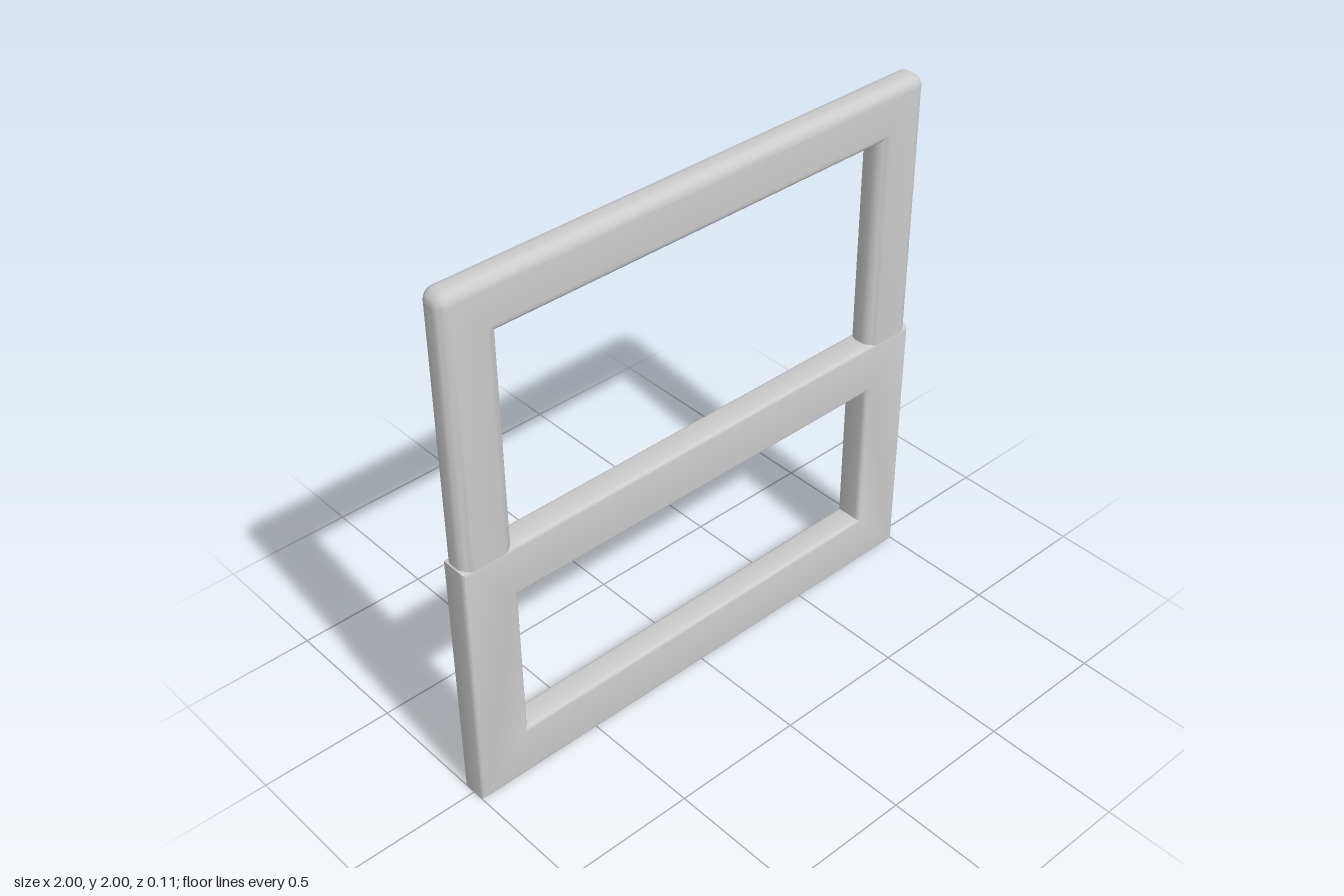
import * as THREE from 'three';
import { toCreasedNormals } from 'three/addons/utils/BufferGeometryUtils.js';

const material = new THREE.MeshStandardMaterial({ color: 0xcccccc });

// Extrudes an outline to the given total depth, rounding its edges inside the outline
function bevelled(name, shape, depth, bevel, segments) {
  const geometry = new THREE.ExtrudeGeometry(shape, {
    depth: depth - 2 * bevel,
    bevelEnabled: true,
    bevelThickness: bevel,
    bevelSize: bevel,
    bevelOffset: -bevel,
    bevelSegments: segments,
    curveSegments: 6,
  });
  geometry.translate(0, 0, -depth / 2 + bevel);
  const mesh = new THREE.Mesh(toCreasedNormals(geometry, 0.7), material);
  mesh.name = name;
  return mesh;
}

// Upside-down U: two stiles and the top rail, with rounded upper corners
function upperOutline(w, inner, bottom, innerTop, top, r) {
  const s = new THREE.Shape();
  s.moveTo(-w, bottom);
  s.lineTo(-inner, bottom);
  s.lineTo(-inner, innerTop);
  s.lineTo(inner, innerTop);
  s.lineTo(inner, bottom);
  s.lineTo(w, bottom);
  s.lineTo(w, top - r);
  s.absarc(w - r, top - r, r, 0, Math.PI / 2, false);
  s.lineTo(-w + r, top);
  s.absarc(-w + r, top - r, r, Math.PI / 2, Math.PI, false);
  s.closePath();
  return s;
}

// Rectangle outline between two corners
function rectangle(path, x, y0, y1) {
  path.moveTo(-x, y0);
  path.lineTo(x, y0);
  path.lineTo(x, y1);
  path.lineTo(-x, y1);
  path.closePath();
  return path;
}

export function createModel() {
  const group = new THREE.Group();
  group.name = 'windowFrame';

  // Upper sash: softly rounded, its legs set into the lower sash
  group.add(bevelled('upperSash',
    upperOutline(0.995, 0.795, 0.9, 1.8, 2, 0.045), 0.103, 0.04, 6));

  // Lower sash: crisper edges, includes the middle rail and the sill
  const lower = rectangle(new THREE.Shape(), 1, 0, 1);
  lower.holes.push(rectangle(new THREE.Path(), 0.795, 0.205, 0.8));
  group.add(bevelled('lowerSash', lower, 0.106, 0.016, 3));

  return group;
}
